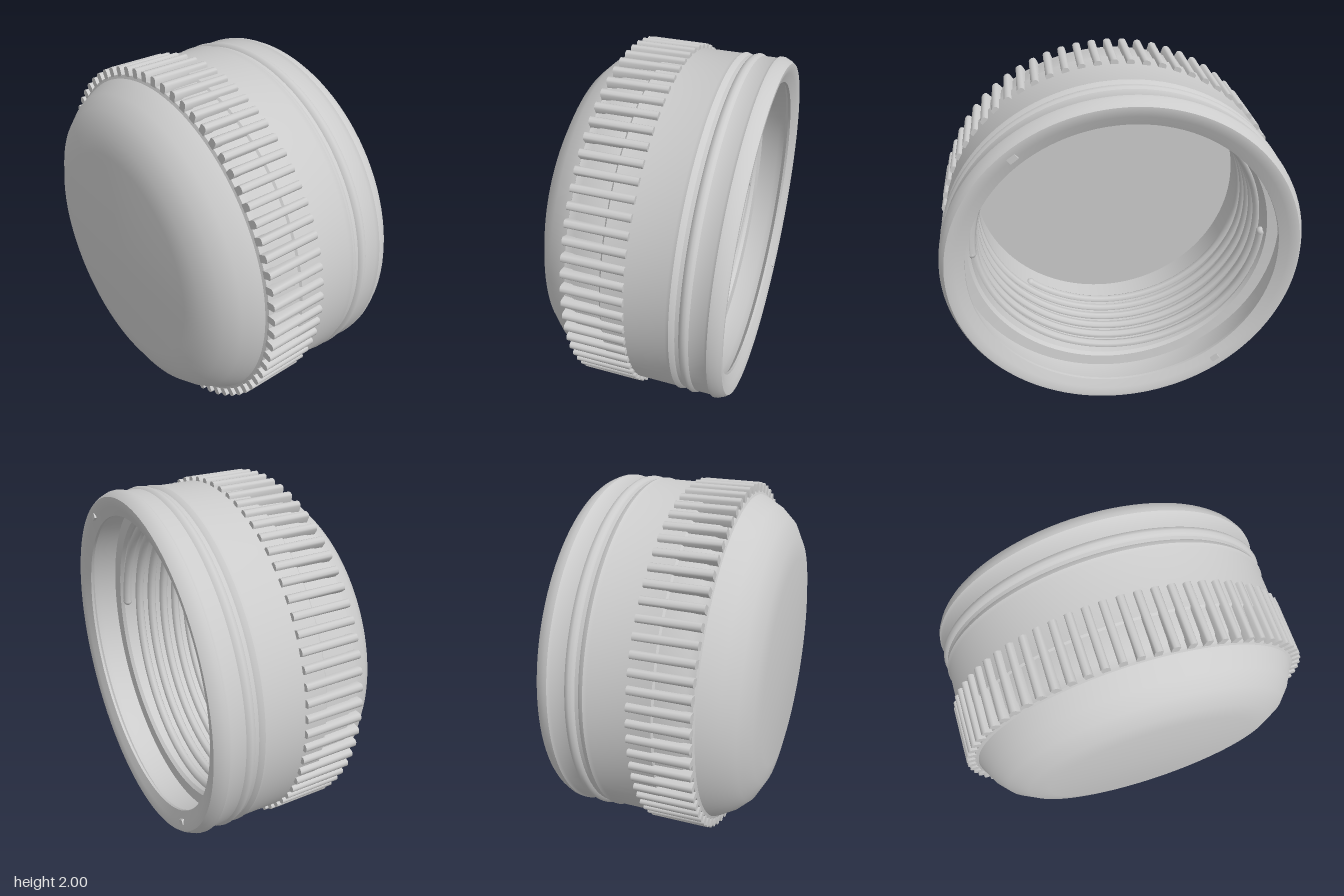
import * as THREE from 'three';
import { toCreasedNormals } from 'three/addons/utils/BufferGeometryUtils.js';

const RIBS = 72;
const mat = new THREE.MeshStandardMaterial({ color: 0xcccccc });

function add(parent, geometry, name) {
  const mesh = new THREE.Mesh(geometry, mat);
  mesh.name = name;
  parent.add(mesh);
  return mesh;
}

// Helical path on the bore wall, running from the open end towards the top
class Helix extends THREE.Curve {
  constructor(start) {
    super();
    this.start = start;
  }
  getPoint(t, target = new THREE.Vector3()) {
    const a = this.start + t * 2.86 * Math.PI * 2;
    return target.set(0.83 * Math.cos(a), 0.83 * Math.sin(a), -0.26 + 0.5 * t);
  }
}

export function createModel() {
  const cap = new THREE.Group();
  cap.name = 'screwCap';
  cap.position.y = 1;

  // Hollow shell: [radius, z] from the inner top disc, out round the inturned lip, to the outer dome
  const profile = [
    [0, 0.39], [0.83, 0.39], [0.835, -0.28], [0.85, -0.3],
    [0.915, -0.31], [0.915, -0.42], [0.9, -0.46], [0.85, -0.485], [0.85, -0.5],
    [0.9, -0.522], [0.935, -0.535], [0.955, -0.535], [0.967, -0.52],
    [0.983, -0.485], [0.985, -0.465], [0.975, -0.45],
    [0.975, -0.372], [0.984, -0.36], [0.987, -0.345], [0.98, -0.328],
    [0.97, -0.32], [0.97, -0.3], [0.977, -0.29], [0.983, -0.272], [0.975, -0.252],
    [0.975, 0.08], [0.965, 0.09], [0.962, 0.225], [0.955, 0.24],
    [0.953, 0.28], [0.935, 0.288],
    [0.925, 0.31], [0.88, 0.39], [0.815, 0.46], [0.71, 0.515], [0.6, 0.535], [0, 0.535],
  ].map(([r, z]) => new THREE.Vector2(r, z));
  const shell = new THREE.LatheGeometry(profile, 112);
  shell.rotateX(Math.PI / 2);
  add(cap, toCreasedNormals(shell, 0.6), 'shell');

  // Grip ribs around the front half: blocks with softened outer corners
  const ribs = new THREE.Group();
  ribs.name = 'gripRibs';
  const section = new THREE.Shape([
    [0.945, -0.021], [0.988, -0.021], [0.997, -0.014], [1, 0],
    [0.997, 0.014], [0.988, 0.021], [0.945, 0.021],
  ].map(([x, y]) => new THREE.Vector2(x, y)));
  const ribShape = new THREE.ExtrudeGeometry(section, { depth: 0.325, bevelEnabled: false });
  ribShape.translate(0, 0, -0.042);
  const ribGeometry = toCreasedNormals(ribShape, 1);
  for (let i = 0; i < RIBS; i++) {
    add(ribs, ribGeometry, 'gripRib').rotation.z = (i / RIBS) * Math.PI * 2;
  }
  cap.add(ribs);

  // Two-start internal thread with closed ends, and a small tab on the lip for each start
  for (const start of [0, Math.PI]) {
    const path = new Helix(start);
    const thread = new THREE.Group();
    thread.name = 'thread';
    add(thread, new THREE.TubeGeometry(path, 260, 0.028, 8), 'threadRidge');
    for (const t of [0, 1]) {
      add(thread, new THREE.SphereGeometry(0.028, 10, 8), 'threadEnd').position.copy(path.getPoint(t));
    }
    cap.add(thread);

    const a = start + 0.92;
    const tab = add(cap, new THREE.BoxGeometry(0.03, 0.05, 0.03), 'lipTab');
    tab.position.set(0.905 * Math.cos(a), 0.905 * Math.sin(a), -0.518);
    tab.rotation.z = a;
  }
  return cap;
}
